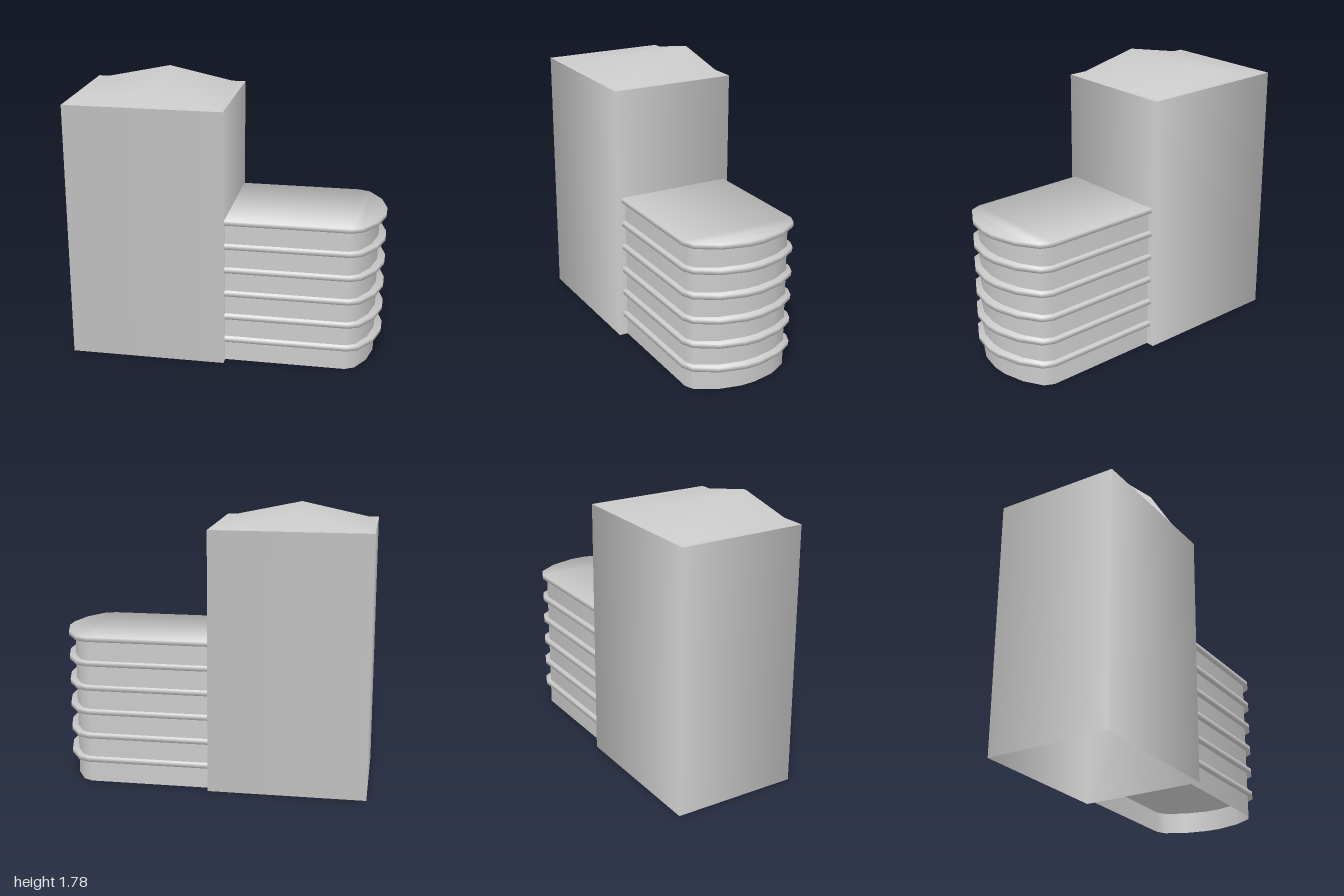
import * as THREE from 'three';

const material = new THREE.MeshStandardMaterial({ color: 0xcccccc, side: THREE.DoubleSide });

function makeMesh(name, positions, index, normals) {
  const geometry = new THREE.BufferGeometry();
  geometry.setAttribute('position', new THREE.Float32BufferAttribute(positions, 3));
  geometry.setIndex(index);
  if (normals) geometry.setAttribute('normal', new THREE.Float32BufferAttribute(normals, 3));
  else geometry.computeVertexNormals();
  const mesh = new THREE.Mesh(geometry, material);
  mesh.name = name;
  return mesh;
}

// Smooth upright wall along an [x, z] outline; optional caps join mirrored outline points.
function extrudeWall(name, outline, y0, y1, { closed = false, caps = false } = {}) {
  const n = outline.length, positions = [], normals = [], index = [];
  const edgeNormal = (i) => {
    if (!closed && (i < 0 || i >= n - 1)) return new THREE.Vector3();
    const a = outline[(i + n) % n], b = outline[(i + 1) % n];
    return new THREE.Vector3(a[1] - b[1], 0, b[0] - a[0]).normalize();
  };
  for (const [y, lift] of [[y0, -1], [y1, 1]]) {
    outline.forEach(([x, z], i) => {
      const normal = edgeNormal(i - 1).add(edgeNormal(i)).normalize();
      if (caps) normal.setY(lift).normalize();
      positions.push(x, y, z);
      normals.push(...normal.toArray());
    });
  }
  for (let i = 0; i < (closed ? n : n - 1); i++) {
    const j = (i + 1) % n;
    index.push(i, j, n + i, j, n + j, n + i);
  }
  if (caps) {
    for (let i = 0; i < n / 2 - 1; i++) {
      const a = i, b = i + 1, c = n - 2 - i, d = n - 1 - i;
      index.push(n + a, n + b, n + c, n + a, n + c, n + d);
      index.push(a, c, b, a, d, c);
    }
  }
  return makeMesh(name, positions, index, normals);
}

// Mirrors the front half of an outline to the back
const mirrored = (half) => [...half, ...half.slice().reverse().map(([x, z]) => [x, -z])];

export function createModel() {
  const model = new THREE.Group();
  const x0 = -1, x1 = 0.01, depth = 0.41, wallTop = 1.68;

  // Tall tower, open underneath
  const footprint = [[x0, depth], [x1, depth], [x1, -depth], [x0, -depth]];
  model.add(extrudeWall('tower', footprint, 0, wallTop, { closed: true }));

  // Flat rim and low gable roof in one smooth skin
  const eaves = [[-0.955, 0.377], [-0.035, 0.377], [-0.035, -0.377], [-0.955, -0.377]];
  const roofPoints = [...footprint, ...eaves].flatMap(([x, z]) => [x, wallTop, z]);
  roofPoints.push(-0.495, 1.777, 0.377, -0.495, 1.777, -0.377);
  const roofIndex = [];
  for (let i = 0; i < 4; i++) {
    const j = (i + 1) % 4;
    roofIndex.push(i, j, 4 + j, i, 4 + j, 4 + i);
  }
  roofIndex.push(4, 5, 8, 6, 7, 9); // gable ends
  roofIndex.push(5, 6, 9, 5, 9, 8, 7, 4, 8, 7, 8, 9); // slopes
  model.add(makeMesh('roof', roofPoints, roofIndex));

  // Low wing with a rounded end, open underneath
  const wingOutline = mirrored([[x1, 0.353], [0.79, 0.353], [0.85, 0.322], [0.918, 0.2], [0.952, 0.05]]);
  model.add(extrudeWall('wing', wingOutline, 0, 0.96));

  // Projecting floor slabs, the highest one closing the wing
  const slabOutline = mirrored([[x1, 0.38], [0.8, 0.38], [0.872, 0.348], [0.957, 0.215], [1, 0.05]]);
  const slabs = new THREE.Group();
  slabs.name = 'floorSlabs';
  for (let i = 0; i < 6; i++) {
    const y = 0.14 + i * 0.161;
    slabs.add(extrudeWall('floorSlab', slabOutline, y, y + 0.03, { caps: true }));
  }
  model.add(slabs);

  return model;
}
